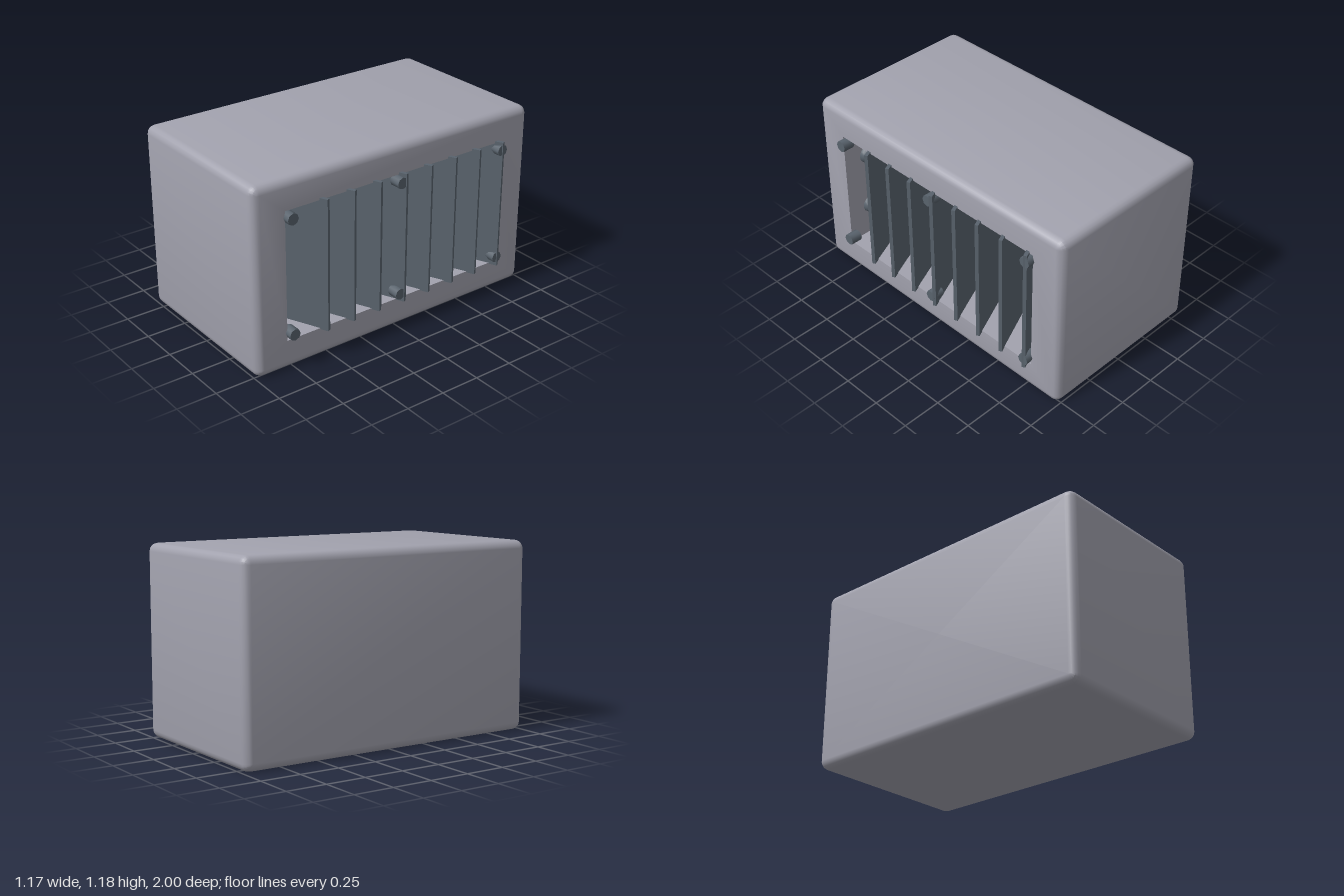
import * as THREE from 'three';
import { toCreasedNormals } from 'three/addons/utils/BufferGeometryUtils.js';

const STEPS = 4;      // segments per rounded corner
const BEVEL = 0.05;
const MID_Y = 0.59;

// One cross-section in the y-z plane: a rectangle with rounded corners
function ring(x, halfZ, halfY, r) {
  const points = [];
  for (let c = 0; c < 4; c++) {
    const sz = c === 0 || c === 3 ? 1 : -1;
    const sy = c < 2 ? 1 : -1;
    for (let k = 0; k <= STEPS; k++) {
      const t = (c + k / STEPS) * Math.PI / 2;
      points.push([
        x,
        MID_Y + sy * (halfY - r) + r * Math.sin(t),
        sz * (halfZ - r) + r * Math.cos(t),
      ]);
    }
  }
  return points;
}

// Joins consecutive cross-sections into one surface
function loft(rings) {
  const n = rings[0].length;
  const index = [];
  for (let i = 0; i < rings.length - 1; i++) {
    for (let j = 0; j < n; j++) {
      const a = i * n + j, b = i * n + (j + 1) % n;
      index.push(a, a + n, b, b, a + n, b + n);
    }
  }
  const geometry = new THREE.BufferGeometry();
  geometry.setAttribute('position', new THREE.Float32BufferAttribute(rings.flat(2), 3));
  geometry.setIndex(index);
  return toCreasedNormals(geometry, 0.45);
}

export function createModel() {
  const model = new THREE.Group();
  model.name = 'ventilationUnit';

  const casingGrey = new THREE.MeshStandardMaterial({ color: 0xa2a2ae });
  casingGrey.name = 'casingGrey';
  const slateGrey = new THREE.MeshStandardMaterial({ color: 0x59636d });
  slateGrey.name = 'slateGrey';

  function add(name, geometry, material, x, y, z) {
    const mesh = new THREE.Mesh(geometry, material);
    mesh.name = name;
    mesh.position.set(x, y, z);
    model.add(mesh);
    return mesh;
  }

  // Casing: rounded box with a deep rectangular opening on its left side
  const left = 0.535, right = -0.59, floor = 0;
  const rings = [ring(right, 0, 0, 0)];
  for (let k = 0; k <= STEPS; k++) {
    const t = k / STEPS * Math.PI / 2;
    const inset = BEVEL * (1 - Math.sin(t));
    rings.push(ring(right + BEVEL * (1 - Math.cos(t)), 1 - inset, 0.59 - inset, BEVEL - inset));
  }
  for (let k = STEPS; k >= 0; k--) {
    const t = k / STEPS * Math.PI / 2;
    const inset = BEVEL * (1 - Math.sin(t));
    rings.push(ring(left - BEVEL * (1 - Math.cos(t)), 1 - inset, 0.59 - inset, BEVEL - inset));
  }
  rings.push(ring(left, 0.79, 0.405, 0), ring(floor, 0.79, 0.405, 0), ring(floor, 0, 0, 0));
  add('casing', loft(rings), casingGrey, 0, 0, 0);

  // Dark plate at the bottom of the opening
  add('ventBackPlate', new THREE.BoxGeometry(0.008, 0.81, 1.58), slateGrey, floor + 0.004, MID_Y, 0);

  // Slanted louvre slats
  const length = 0.6, tilt = 0.42;
  const slatGeometry = new THREE.BoxGeometry(length, 0.83, 0.022);
  slatGeometry.translate(-length / 2, 0, 0);
  for (let i = 0; i < 8; i++) {
    const slat = add('louvreSlat', slatGeometry, slateGrey, 0.578, 0.593, 0.53 - i * 0.186);
    slat.rotation.y = tilt;
  }

  // Bolts along the top and bottom of the opening
  const boltGeometry = toCreasedNormals(new THREE.CylinderGeometry(0.036, 0.036, 0.075, 8), 0.9);
  boltGeometry.rotateZ(Math.PI / 2);
  for (const z of [0.765, 0.005, -0.765]) {
    for (const y of [0.235, 0.955]) add('bolt', boltGeometry, slateGrey, 0.54, y, z);
  }

  // Rounded studs on the front wall of the opening
  const studGeometry = new THREE.SphereGeometry(0.06, 16, 10);
  for (const y of [0.4, 0.785]) add('wallStud', studGeometry, slateGrey, 0.36, y, 0.79);

  return model;
}
